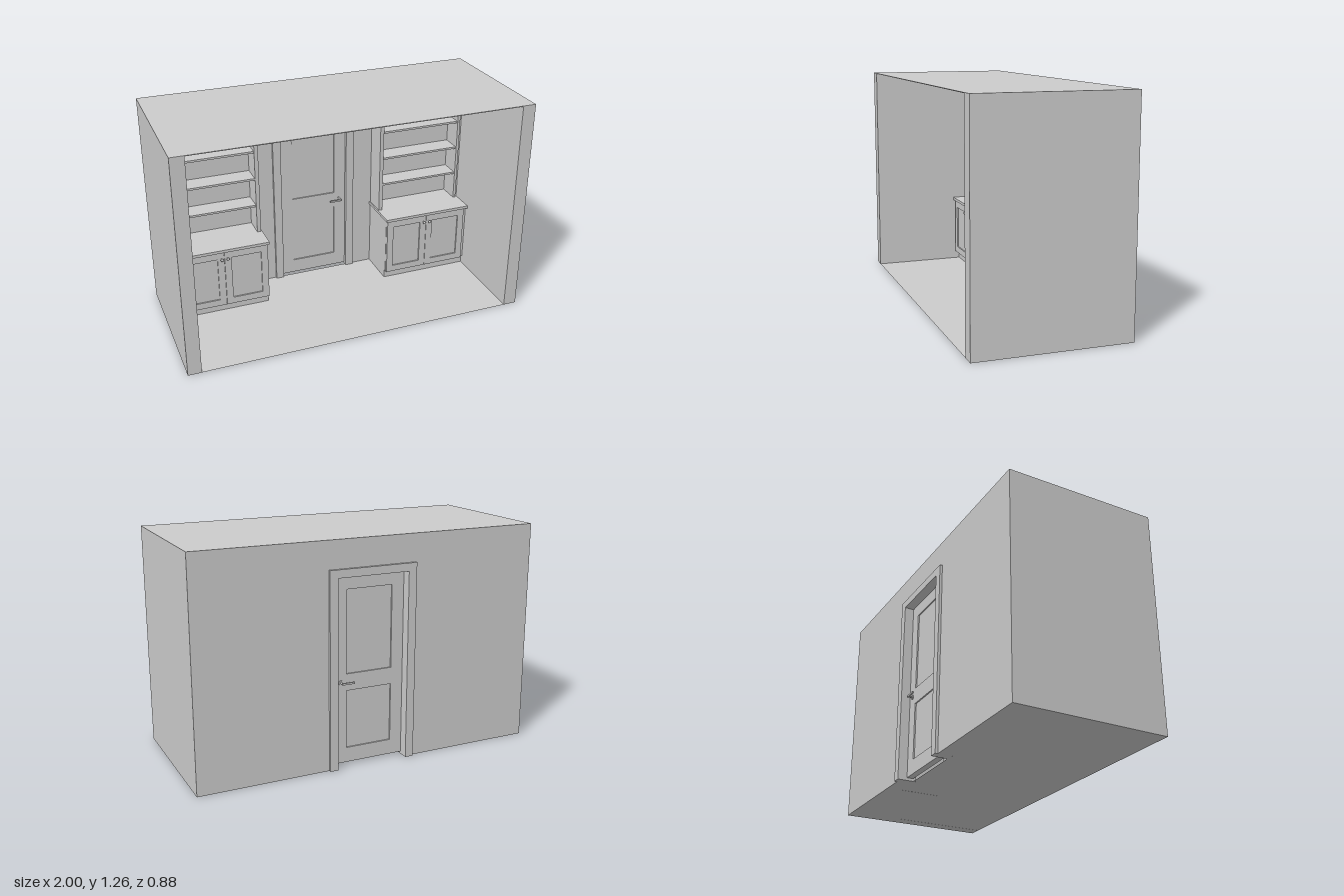
import * as THREE from 'three';

const material = new THREE.MeshStandardMaterial({ color: 0xcccccc });
const thin = new THREE.MeshStandardMaterial({ color: 0xcccccc, side: THREE.DoubleSide });

// Main levels and planes of the room
const H = 1.265, FRONT = 0.44, BACK = -0.425, INNER_Z = -0.348, INNER_X = 0.923;
const DOOR_X = 0.208, DOOR_H = 1.065;

function add(parent, name, geometry, mat = material) {
  const mesh = new THREE.Mesh(geometry, mat);
  mesh.name = name;
  parent.add(mesh);
  return mesh;
}

// Box given by its limits on each axis
function box(parent, name, [x0, x1], [y0, y1], [z0, z1]) {
  const mesh = add(parent, name, new THREE.BoxGeometry(x1 - x0, y1 - y0, z1 - z0));
  mesh.position.set((x0 + x1) / 2, (y0 + y1) / 2, (z0 + z1) / 2);
  return mesh;
}

function polygon(points, Type = THREE.Shape) {
  return new Type(points.map(([x, y]) => new THREE.Vector2(x, y)));
}

const rect = (x0, x1, y0, y1) => [[x0, y0], [x1, y0], [x1, y1], [x0, y1]];

function slab(parent, name, shape, z0, z1) {
  const mesh = add(parent, name, new THREE.ExtrudeGeometry(shape, { depth: z1 - z0, bevelEnabled: false }));
  mesh.position.z = z0;
  return mesh;
}

// Round part lying along z
function disc(parent, name, r, x, y, z0, z1) {
  const mesh = add(parent, name, new THREE.CylinderGeometry(r, r, z1 - z0, 24));
  mesh.rotation.x = Math.PI / 2;
  mesh.position.set(x, y, (z0 + z1) / 2);
  return mesh;
}

// Door leaf: frame with openings, filled by recessed panels
function panelDoor(parent, name, outline, panels, [z0, z1], [p0, p1]) {
  const door = new THREE.Group();
  door.name = name;
  const shape = polygon(rect(...outline));
  for (const p of panels) {
    shape.holes.push(polygon(rect(...p), THREE.Path));
    box(door, 'recessedPanel', [p[0], p[1]], [p[2], p[3]], [p0, p1]);
  }
  slab(door, 'doorFrame', shape, z0, z1);
  parent.add(door);
  return door;
}

// Upside-down U around the doorway
function casingShape(w, h, inW, inH) {
  return polygon([[-w, 0], [-inW, 0], [-inW, inH], [inW, inH], [inW, 0], [w, 0], [w, h], [-w, h]]);
}

function buildShell() {
  const shell = new THREE.Group();
  shell.name = 'roomShell';
  for (const s of [-1, 1]) {
    const xs = s > 0 ? [INNER_X, 1] : [-1, -INNER_X];
    box(shell, 'sideWall', xs, [0, H], [BACK, FRONT]);
  }
  slab(shell, 'backWall', casingShape(INNER_X, H, DOOR_X, DOOR_H), BACK, INNER_Z);
  box(shell, 'ceiling', [-INNER_X, INNER_X], [H - 0.004, H], [INNER_Z, FRONT]);
  const floor = add(shell, 'floor', new THREE.PlaneGeometry(2 * INNER_X, FRONT - INNER_Z), thin);
  floor.rotation.x = -Math.PI / 2;
  floor.position.set(0, 0.0005, (FRONT + INNER_Z) / 2);
  return shell;
}

function buildEntry() {
  const entry = new THREE.Group();
  entry.name = 'entryDoor';
  // Trim on both faces of the wall
  const trim = casingShape(DOOR_X + 0.048, DOOR_H + 0.045, DOOR_X, DOOR_H);
  slab(entry, 'outerCasing', trim, BACK - 0.015, BACK);
  slab(entry, 'innerCasing', trim, INNER_Z, INNER_Z + 0.015);

  const z0 = -0.387, z1 = -0.35;
  panelDoor(entry, 'doorLeaf', [-0.206, 0.206, 0.015, DOOR_H - 0.002],
    [[-0.135, 0.135, 0.1, 0.43], [-0.135, 0.135, 0.525, 0.99]],
    [z0, z1], [z0 + 0.008, z1 - 0.008]);

  // Lever handles on both faces
  for (const [face, dir] of [[z1, 1], [z0, -1]]) {
    const span = (a, b) => [face + dir * a, face + dir * b].sort((p, q) => p - q);
    disc(entry, 'handleRose', 0.013, 0.17, 0.48, ...span(0, 0.005));
    disc(entry, 'handleNeck', 0.005, 0.17, 0.48, ...span(0, 0.034));
    box(entry, 'handleLever', [0.1, 0.175], [0.475, 0.485], span(0.025, 0.034));
  }
  return entry;
}

// Built-in cabinet with bookcase, drawn on the +x side
function buildBuiltIn() {
  const unit = new THREE.Group();
  unit.name = 'builtInBookcase';
  const x0 = 0.38, x1 = INNER_X, back = INNER_Z;

  // Base cabinet
  box(unit, 'toeKick', [x0, x1], [0, 0.05], [back, -0.108]);
  box(unit, 'cabinetBody', [x0, x1], [0.05, 0.405], [back, -0.095]);
  box(unit, 'countertop', [x0 - 0.007, x1], [0.405, 0.422], [back, -0.07]);
  const mid = 0.642;
  for (const [a, b] of [[x0 + 0.002, mid - 0.001], [mid + 0.001, 0.902]]) {
    panelDoor(unit, 'cabinetDoor', [a, b, 0.052, 0.402],
      [[a + 0.04, b - 0.04, 0.092, 0.362]], [-0.095, -0.078], [-0.095, -0.086]);
  }
  for (const x of [mid - 0.018, mid + 0.018]) {
    disc(unit, 'knobStem', 0.004, x, 0.363, -0.078, -0.066);
    const knob = add(unit, 'knob', new THREE.SphereGeometry(0.009, 20, 12));
    knob.scale.z = 0.7;
    knob.position.set(x, 0.363, -0.064);
  }

  // Bookcase above the counter
  const top = 1.258, front = -0.213, in0 = 0.403, in1 = 0.895;
  box(unit, 'bookcaseSide', [x0, in0], [0.422, top], [back, front]);
  box(unit, 'bookcaseSide', [in1, 0.911], [0.422, top], [back, front]);
  box(unit, 'fillerStrip', [0.911, x1], [0.422, top], [back, front - 0.01]);
  box(unit, 'bookcaseTop', [in0, in1], [1.237, top], [back, front]);
  box(unit, 'bookcaseBack', [in0, in1], [0.422, 1.237], [back, back + 0.008]);
  for (const y of [0.59, 0.762, 0.932, 1.1]) {
    box(unit, 'shelf', [in0, in1], [y - 0.006, y + 0.006], [back + 0.008, front - 0.008]);
  }
  return unit;
}

export function createModel() {
  const model = new THREE.Group();
  model.name = 'roomWithBookcases';
  const left = buildBuiltIn();
  const right = buildBuiltIn();
  right.scale.x = -1;
  model.add(buildShell(), buildEntry(), left, right);
  return model;
}
